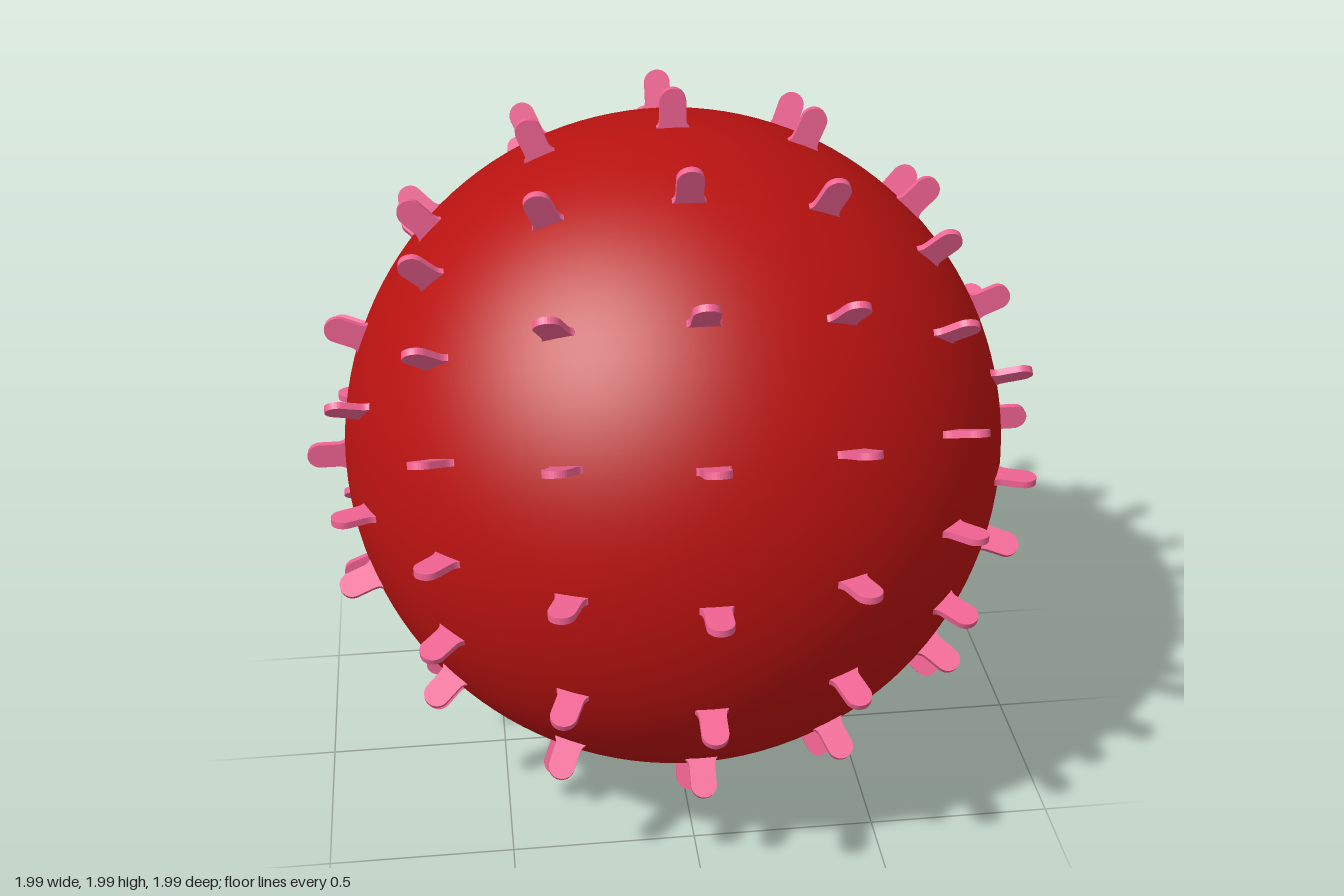
import * as THREE from 'three';
import { mergeVertices } from 'three/addons/utils/BufferGeometryUtils.js';

const RADIUS = 0.893;

// Smooth ball with one shallow dimple near the underside
function ballGeometry() {
  let geo = new THREE.SphereGeometry(RADIUS, 96, 64);
  geo.rotateZ(Math.PI / 2);
  geo.deleteAttribute('uv');
  geo.deleteAttribute('normal');
  geo = mergeVertices(geo, 1e-5);
  const dimple = new THREE.Vector3(-0.13, -0.86, -0.12).setLength(RADIUS);
  const pos = geo.attributes.position;
  const v = new THREE.Vector3();
  for (let i = 0; i < pos.count; i++) {
    v.fromBufferAttribute(pos, i);
    const d = v.distanceTo(dimple) / 0.17;
    if (d < 1) v.setLength(RADIUS - 0.065 * (1 - d * d) ** 2);
    pos.setXYZ(i, v.x, v.y, v.z);
  }
  geo.computeVertexNormals();
  return geo;
}

// Flat round-tipped tab with a flared root, pointing along +y
function tabGeometry() {
  const w = 0.034, tip = 0.996, depth = 0.018;
  const s = new THREE.Shape();
  s.moveTo(-0.044, 0.86);
  s.lineTo(0.044, 0.86);
  s.lineTo(0.042, 0.893);
  s.quadraticCurveTo(w, 0.9, w, 0.915);
  s.lineTo(w, tip - w);
  s.absarc(0, tip - w, w, 0, Math.PI);
  s.lineTo(-w, 0.915);
  s.quadraticCurveTo(-w, 0.9, -0.042, 0.893);
  s.closePath();
  const geo = new THREE.ExtrudeGeometry(s, { depth, bevelEnabled: false, curveSegments: 8 });
  geo.translate(0, 0, -depth / 2);
  return geo;
}

export function createModel() {
  const root = new THREE.Group();
  root.name = 'spikyBall';
  const model = new THREE.Group();
  model.position.y = 1;
  root.add(model);

  const ball = new THREE.Mesh(ballGeometry(), new THREE.MeshStandardMaterial({ color: 0xb81210 }));
  ball.name = 'ball';
  model.add(ball);

  const tabs = new THREE.Group();
  tabs.name = 'tabs';
  model.add(tabs);
  const tabGeo = tabGeometry();
  const tabMat = new THREE.MeshStandardMaterial({ color: 0xf06292 });

  // Rings of tabs around the x axis: latitude, count, small twist (degrees)
  const rings = [
    [0, 16, 0.5], [22.5, 16, 1.5], [45, 16, 3], [67.5, 8, 1.5], [90, 1, 0],
  ];
  const rad = THREE.MathUtils.degToRad;
  for (const [lat, count, twist] of rings) {
    for (const side of lat ? [1, -1] : [1]) {
      for (let i = 0; i < count; i++) {
        const tab = new THREE.Mesh(tabGeo, tabMat);
        tab.name = 'tab';
        tab.rotation.set(rad((i * 360) / count - twist), 0, -side * rad(lat));
        tabs.add(tab);
      }
    }
  }
  return root;
}
